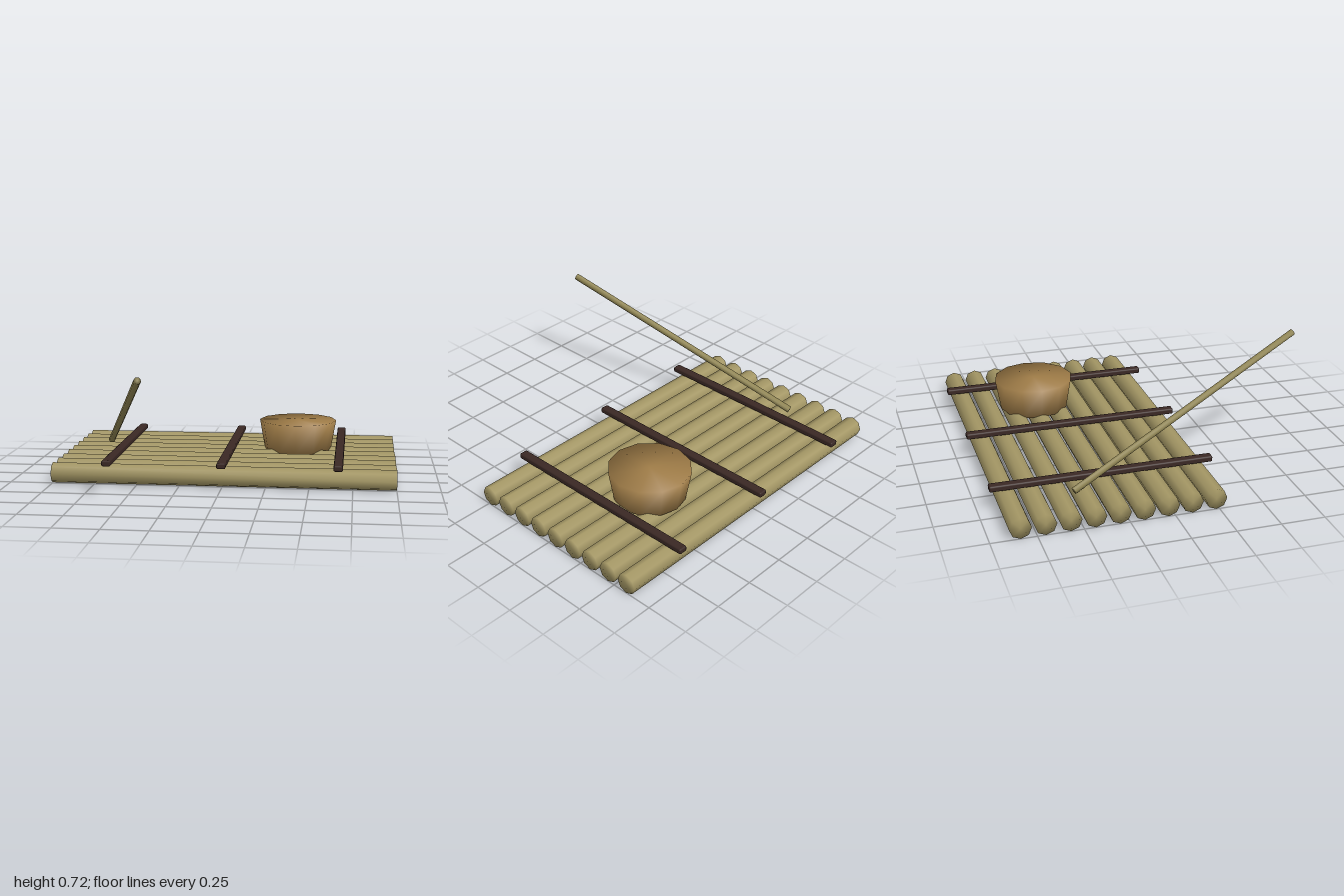
import * as THREE from 'three';
import { mergeVertices } from 'three/addons/utils/BufferGeometryUtils.js';
import { RoundedBoxGeometry } from 'three/addons/geometries/RoundedBoxGeometry.js';

const material = (color) => new THREE.MeshStandardMaterial({ color });
const bamboo = material(0xa39664);
const darkWood = material(0x3a2824);
const clay = material(0xa07d48);
const poleWood = material(0x8f8452);

// Shares vertices across all edges so the shading runs over the rims
function soften(geometry) {
  geometry.deleteAttribute('normal');
  geometry.deleteAttribute('uv');
  const merged = mergeVertices(geometry, 1e-4);
  merged.computeVertexNormals();
  return merged;
}

function addMesh(parent, name, geometry, mat, x, y, z) {
  const mesh = new THREE.Mesh(geometry, mat);
  mesh.name = name;
  mesh.position.set(x, y, z);
  parent.add(mesh);
  return mesh;
}

export function createModel() {
  const raft = new THREE.Group();
  raft.name = 'raft';

  // Deck of nine round logs lying along x
  const deck = new THREE.Group();
  deck.name = 'deck';
  raft.add(deck);
  const logGeometry = soften(new THREE.CylinderGeometry(0.06, 0.06, 2, 8));
  logGeometry.rotateZ(Math.PI / 2);
  for (let i = 0; i < 9; i++) {
    addMesh(deck, 'log', logGeometry, bamboo, 0, 0.06, -0.838 + i * 0.1338);
  }

  // Three crossbars tying the logs together
  const barGeometry = new RoundedBoxGeometry(0.053, 0.034, 1.26, 1, 0.009);
  for (const x of [-0.667, 0, 0.667]) {
    addMesh(raft, 'crossbar', barGeometry, darkWood, x, 0.137, -0.305);
  }

  // Tapered basket standing on the deck
  const basketGeometry = soften(new THREE.CylinderGeometry(0.238, 0.206, 0.185, 12));
  addMesh(raft, 'basket', basketGeometry, clay, 0.4, 0.1925, -0.44);

  // Long pole leaning out over the front
  const foot = new THREE.Vector3(-0.8, 0.122, -0.502);
  const tip = new THREE.Vector3(-0.362, 0.705, 0.922);
  const along = tip.clone().sub(foot);
  const poleGeometry = soften(new THREE.CylinderGeometry(0.02, 0.02, along.length(), 8));
  const middle = foot.clone().add(tip).multiplyScalar(0.5);
  const pole = addMesh(raft, 'pole', poleGeometry, poleWood, middle.x, middle.y, middle.z);
  pole.quaternion.setFromUnitVectors(new THREE.Vector3(0, 1, 0), along.normalize());

  return raft;
}
